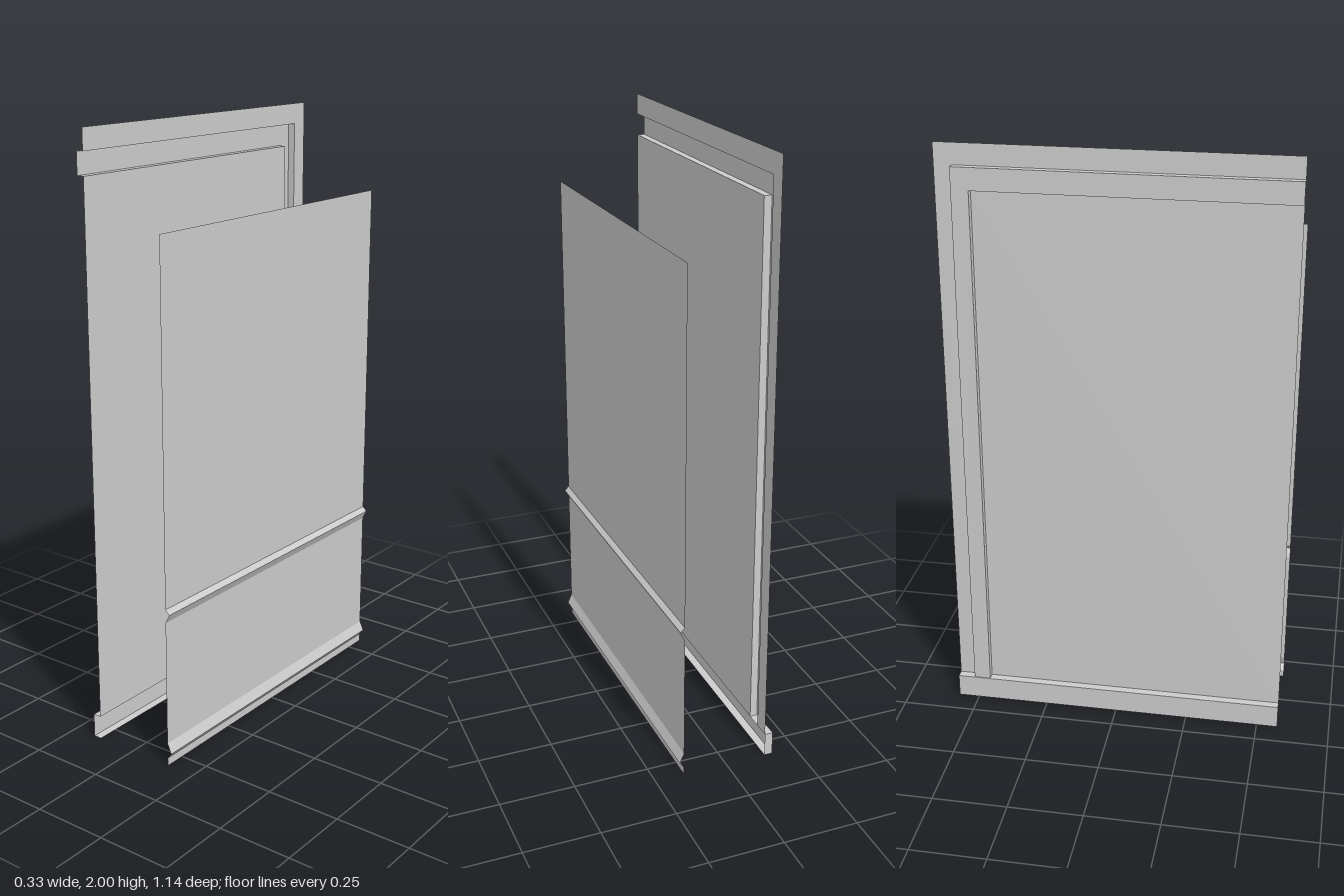
import * as THREE from 'three';

const HALF = 0.572;          // half length along z
const BACK = -0.139;         // plane of the framed panel
const FRAME = -0.164;        // face of the raised frame
const SKIRT = -0.167;        // face of the skirting
const SKIRT_TOP = 0.08;

const material = new THREE.MeshStandardMaterial({
  color: 0xcccccc, flatShading: true, side: THREE.DoubleSide,
});

// Folded sheet through successive rows of points [x, y, z]
function sheet(name, rows) {
  const pos = [];
  for (let r = 0; r < rows.length - 1; r++) {
    const a = rows[r], b = rows[r + 1];
    for (let i = 0; i < a.length - 1; i++) {
      pos.push(...a[i], ...a[i + 1], ...b[i + 1], ...a[i], ...b[i + 1], ...b[i]);
    }
  }
  const geo = new THREE.BufferGeometry();
  geo.setAttribute('position', new THREE.Float32BufferAttribute(pos, 3));
  geo.computeVertexNormals();
  const mesh = new THREE.Mesh(geo, material);
  mesh.name = name;
  return mesh;
}

// Profile of [x, y] points, listed top to bottom, swept from z0 to z1
const sweep = (name, profile, z0, z1) =>
  sheet(name, [z0, z1].map((z) => profile.map(([x, y]) => [x, y, z])));

export function createModel() {
  const model = new THREE.Group();

  // Tall panel facing -x, with a hollow raised frame and skirting
  const framed = new THREE.Group();
  framed.name = 'framedPanel';
  const outer = { y: 1.93, z: -0.514 };
  const inner = { y: 1.857, z: -0.457 };
  const flat = (name, top, bottom, z0, z1) =>
    sweep(name, [[BACK, top], [BACK, bottom]], z0, z1);
  framed.add(
    flat('topStrip', 2, outer.y, -HALF, HALF),
    flat('sideStrip', outer.y, SKIRT_TOP, -HALF, outer.z),
    flat('innerPanel', inner.y, SKIRT_TOP, inner.z, HALF),
  );

  // L-shaped frame channel, mitred at the corner
  const channel = [[BACK, outer], [FRAME, outer], [FRAME, inner], [BACK, inner]];
  framed.add(sheet('raisedFrame', [
    channel.map(([x, p]) => [x, SKIRT_TOP, p.z]),
    channel.map(([x, p]) => [x, p.y, p.z]),
    channel.map(([x, p]) => [x, p.y, HALF]),
  ]));

  // Skirting channel, open towards +x, closed at its back end
  framed.add(
    sweep('skirting', [[BACK, SKIRT_TOP], [SKIRT, SKIRT_TOP], [SKIRT, 0], [BACK, 0]], -HALF, HALF),
    sheet('skirtingEnd', [
      [[BACK, SKIRT_TOP, -HALF], [BACK, 0, -HALF]],
      [[SKIRT, SKIRT_TOP, -HALF], [SKIRT, 0, -HALF]],
    ]),
  );

  // Shorter panel facing +x, a thin sheet with two folded ridges
  const X = 0.15, RIDGE = 0.165;
  const ridged = sweep('ridgedPanel', [
    [X, 1.715],
    [X, 0.545], [RIDGE, 0.53], [X, 0.5],
    [X, 0.08], [RIDGE, 0.047], [X, 0.027],
    [X, 0],
  ], HALF, -HALF);

  model.add(framed, ridged);
  return model;
}
